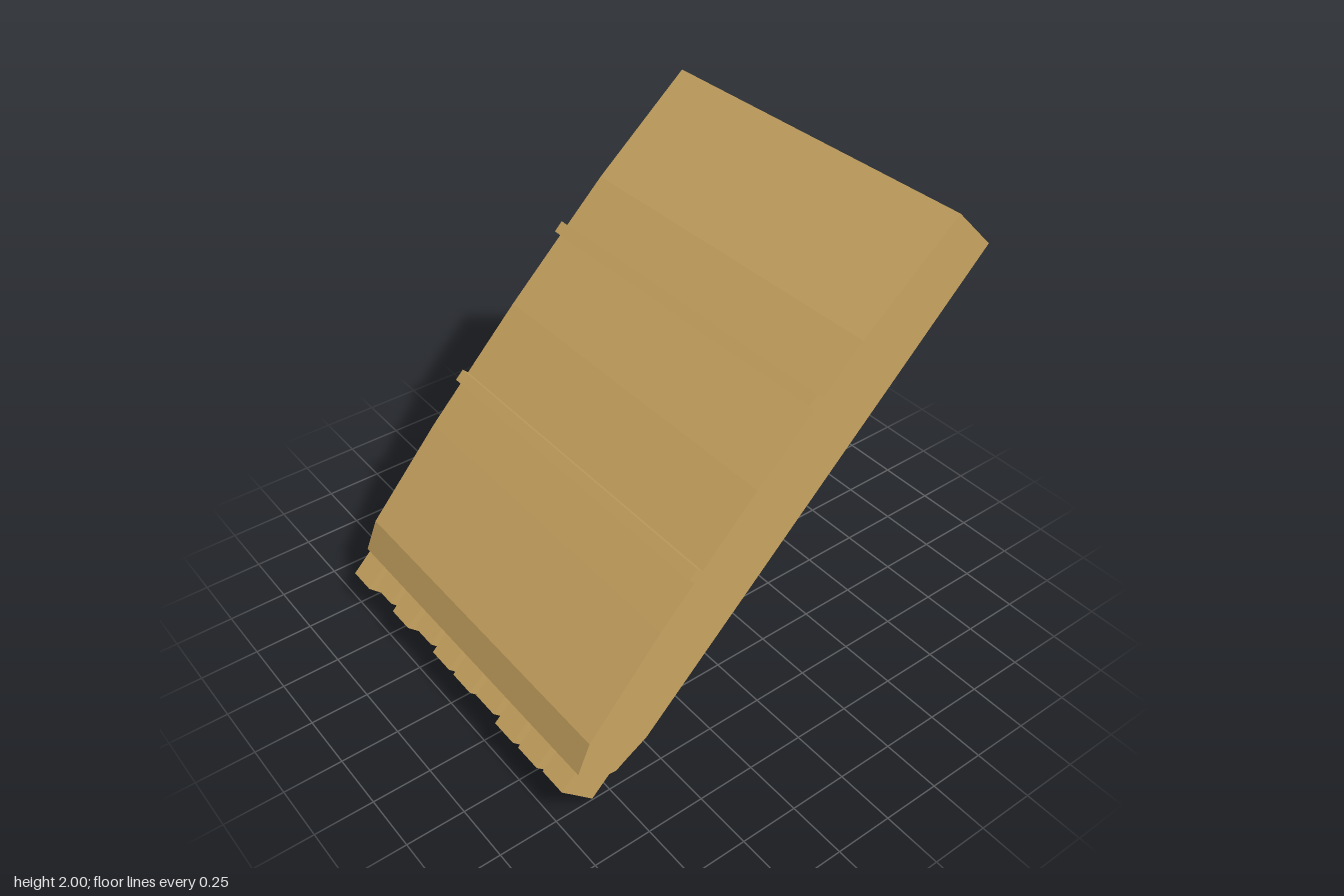
import * as THREE from 'three';

const material = new THREE.MeshStandardMaterial({ color: 0xc8a460, flatShading: true });

// Extrudes a side outline of [z, y] points across the width from x0 to x1.
function slab(name, outline, x0, x1) {
  const shape = new THREE.Shape(outline.map(([z, y]) => new THREE.Vector2(z, y)));
  const geometry = new THREE.ExtrudeGeometry(shape, { depth: x1 - x0, bevelEnabled: false });
  geometry.rotateY(-Math.PI / 2).translate(x1, 0, 0);
  const mesh = new THREE.Mesh(geometry, material);
  mesh.name = name;
  return mesh;
}

// Outline of a bar tilted 45 degrees: u runs down and forward, v up and forward.
function tiltedRect(u0, u1, v0, v1) {
  return [[u0, v0], [u1, v0], [u1, v1], [u0, v1]].map(([u, v]) => [(v + u) / 2, (v - u) / 2]);
}

export function createModel() {
  const group = new THREE.Group();
  group.name = 'slopedPanel';
  const left = 0.787, right = -0.79;

  // Leaning body with a gently bowed upper face and a blunt lower nose
  group.add(slab('body', [
    [-0.803, 2.0], [-0.987, 1.815], [0.6, 0.228], [0.69, 0.175], [0.745, 0.14],
    [0.857, 0.157], [0.917, 0.24], [0.862, 0.37], [0.535, 0.74], [0.1, 1.185], [-0.37, 1.635],
  ], right, left));

  // Two cross ribs on the upper face
  [[-0.587, 'lowerRib'], [-1.655, 'upperRib']].forEach(([u, name]) => {
    group.add(slab(name, tiltedRect(u, u + 0.073, 1.23, 1.328), right, left));
  });

  // Row of teeth of uneven length along the lower edge
  const shortening = [0, 0.02, 0.008, 0.026, 0.015, 0.015, 0.024, 0.01, 0.012, 0.018];
  shortening.forEach((s, i) => {
    const x = right + i * 0.158;
    group.add(slab('tooth' + (i + 1), tiltedRect(0.5, 0.853 - 2 * s, 0.858, 1.13), x, x + 0.126));
  });
  return group;
}
